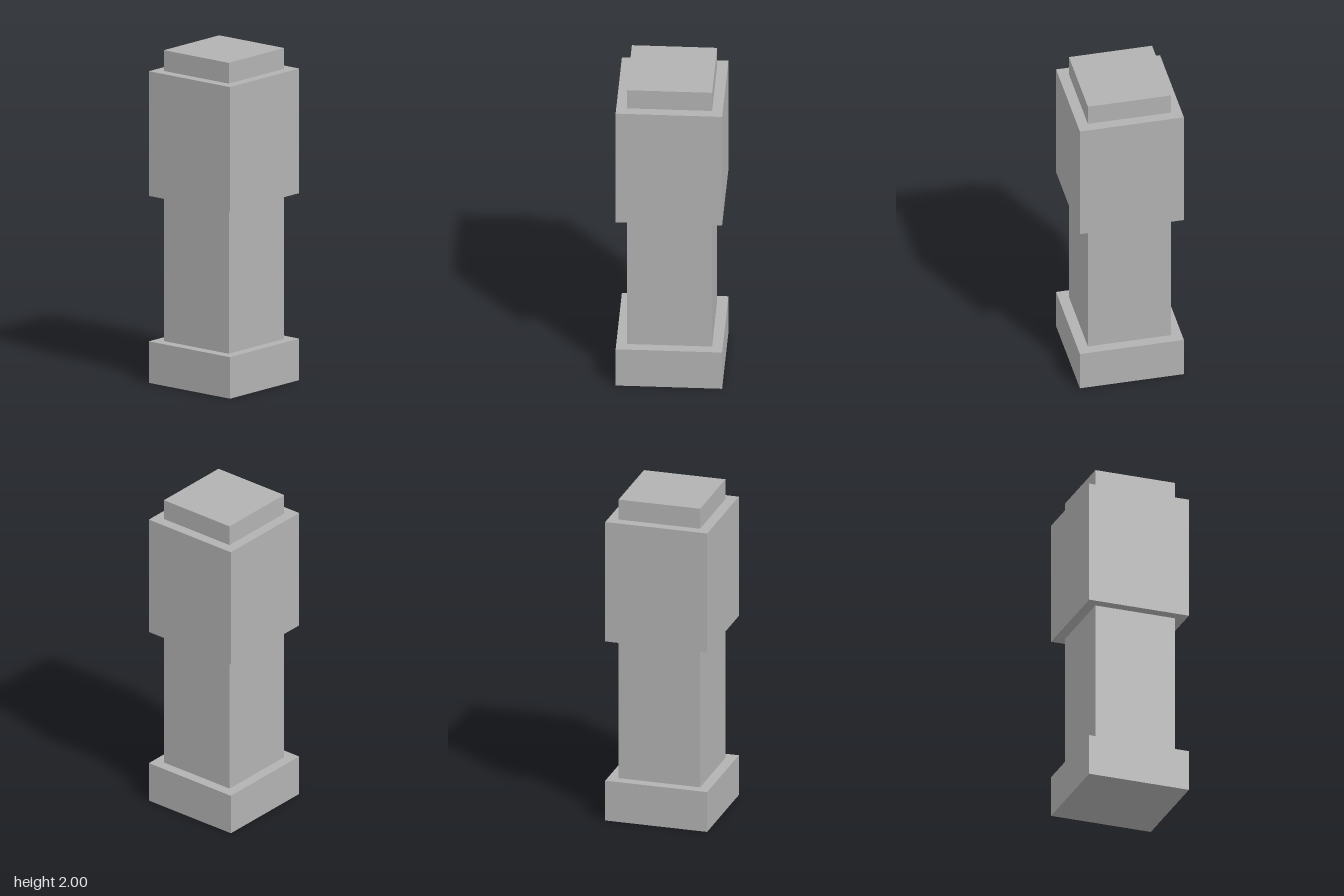
import * as THREE from 'three';

export function createModel() {
  const model = new THREE.Group();
  model.name = 'pillar';

  const stone = new THREE.MeshStandardMaterial({ color: 0xb2b2b2 });
  stone.name = 'grey stone';

  // Square block spanning from bottom to top
  const addBlock = (name, width, bottom, top) => {
    const block = new THREE.Mesh(new THREE.BoxGeometry(width, top - bottom, width), stone);
    block.name = name;
    block.position.y = (bottom + top) / 2;
    model.add(block);
  };

  // Stacked from the ground up
  addBlock('base', 0.625, 0, 0.25);
  addBlock('shaft', 0.5, 0.25, 1.125);
  addBlock('head', 0.625, 1.125, 1.875);
  addBlock('cap', 0.5, 1.875, 2);

  return model;
}
